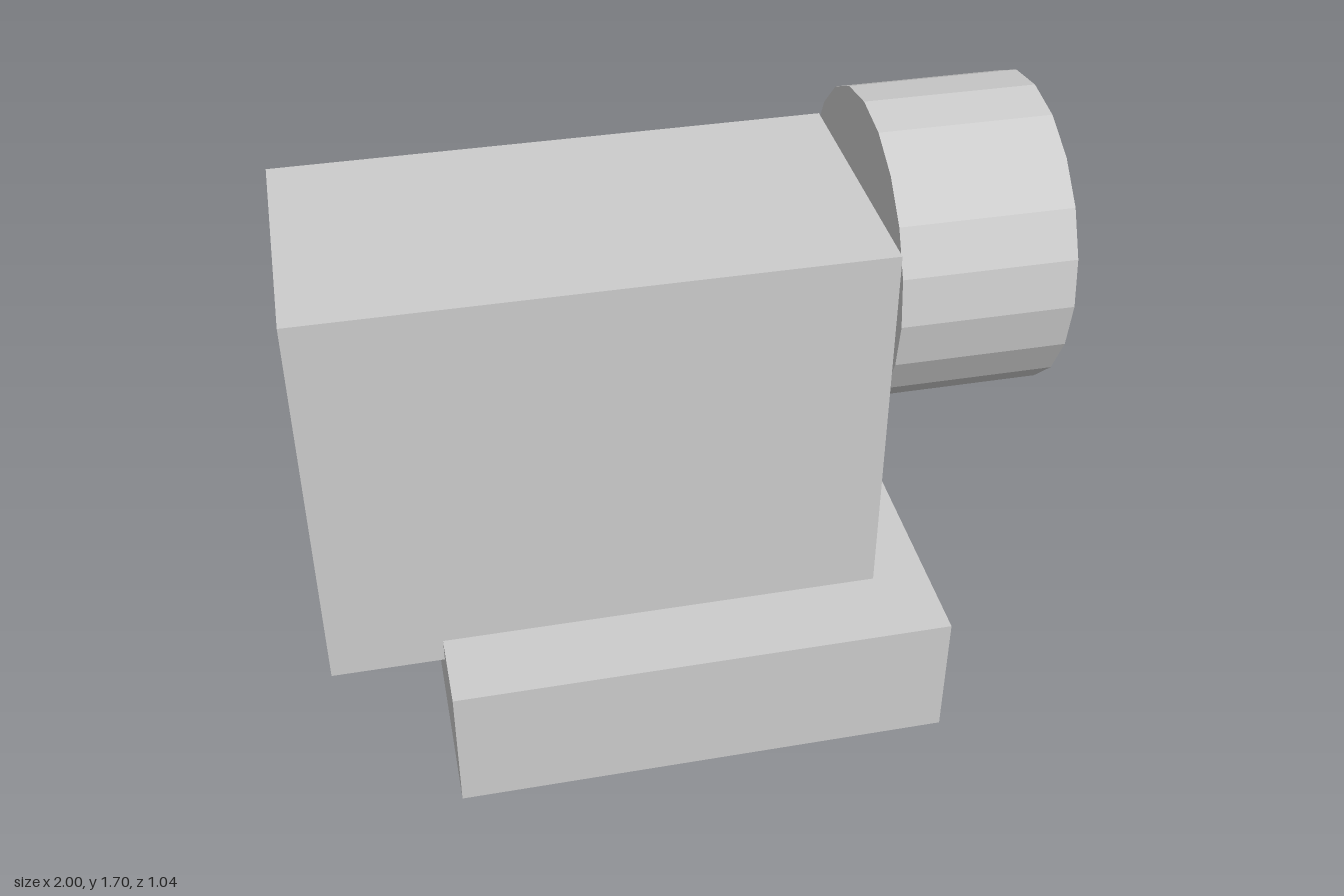
import * as THREE from 'three';

export function createModel() {
  const model = new THREE.Group();
  const grey = new THREE.MeshStandardMaterial({ color: 0xcccccc, flatShading: true });
  grey.name = 'light grey';

  const add = (name, geometry, x, y, z) => {
    const mesh = new THREE.Mesh(geometry, grey);
    mesh.name = name;
    mesh.position.set(x, y, z);
    model.add(mesh);
  };

  // Block between two opposite corners
  const block = (name, [x0, y0, z0], [x1, y1, z1]) =>
    add(name, new THREE.BoxGeometry(x1 - x0, y1 - y0, z1 - z0),
      (x0 + x1) / 2, (y0 + y1) / 2, (z0 + z1) / 2);

  // Foot, set forward, with the body sunk slightly into it
  block('base', [-0.69, 0, -0.325], [0.69, 0.383, 0.518]);
  block('body', [-1, 0.313, -0.482], [0.535, 1.463, 0.287]);

  // Twenty-sided drum on the left end of the body
  const drum = new THREE.CylinderGeometry(0.422, 0.422, 0.465, 20).rotateZ(-Math.PI / 2);
  add('drum', drum, 0.7675, 1.274, -0.096);

  return model;
}
